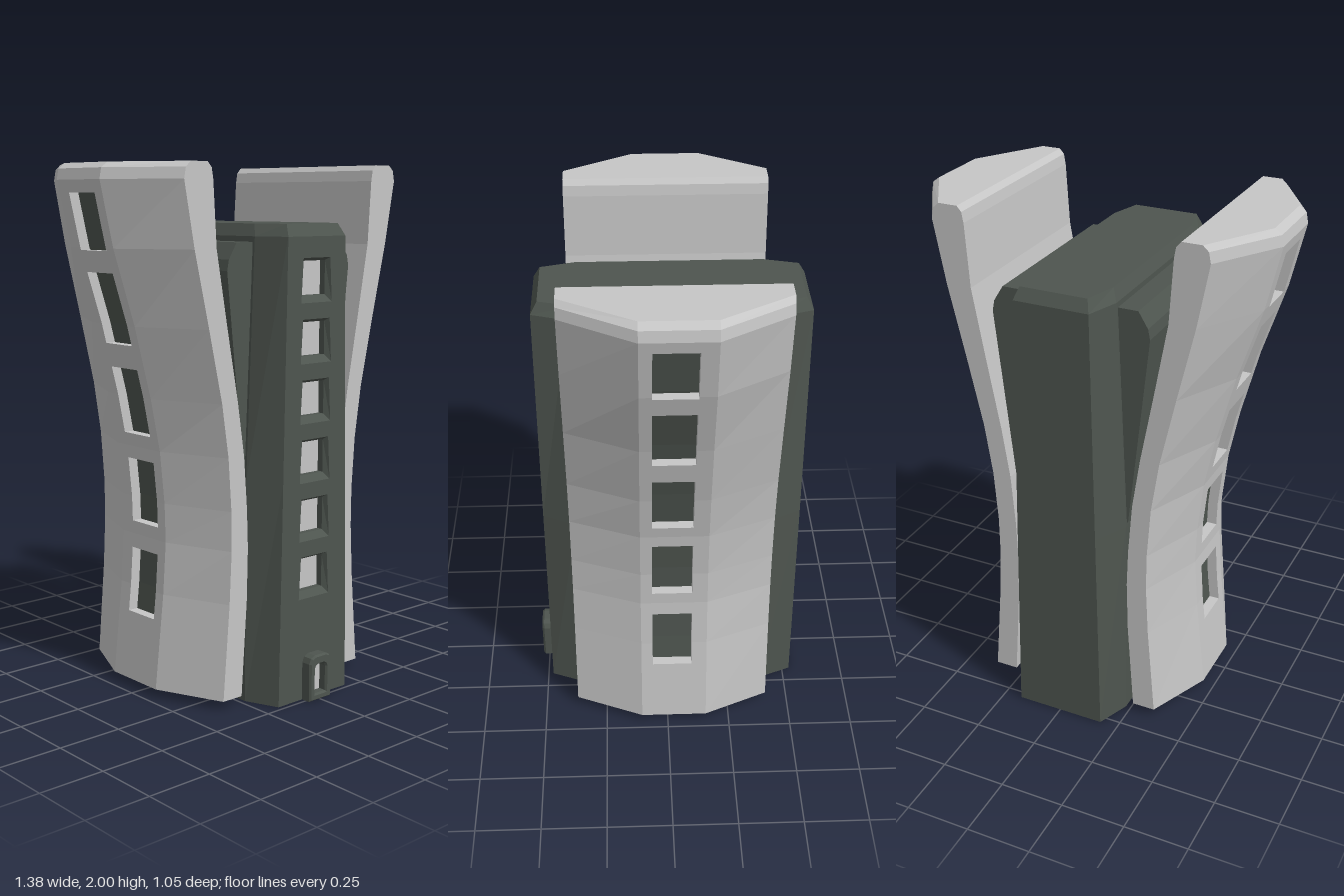
import * as THREE from 'three';

const dark = new THREE.MeshStandardMaterial({ color: 0x4e554f });
dark.name = 'dark grey green';
const light = new THREE.MeshStandardMaterial({ color: 0xc6c6c6 });
light.name = 'light grey';

// Collects flat faces; mirror = -1 flips x and keeps faces outward.
function faces(mirror = 1) {
  const pos = [];
  const poly = (...p) => {
    if (mirror < 0) p = p.slice().reverse();
    for (let i = 1; i < p.length - 1; i++)
      for (const v of [p[0], p[i], p[i + 1]]) pos.push(v[0] * mirror, v[1], v[2]);
  };
  // Side walls between two rings that run clockwise seen from above
  const band = (lo, hi, skip = -1) => lo.forEach((p, i) => {
    const j = (i + 1) % lo.length;
    if (i !== skip) poly(lo[j], p, hi[i], hi[j]);
  });
  // Recess walls from an outer loop to a deeper loop
  const recess = (outer, inner) => outer.forEach((p, i) => {
    const j = (i + 1) % outer.length;
    poly(p, outer[j], inner[j], inner[i]);
  });
  const mesh = (name, material) => {
    const g = new THREE.BufferGeometry();
    g.setAttribute('position', new THREE.Float32BufferAttribute(pos, 3));
    g.computeVertexNormals();
    const m = new THREE.Mesh(g, material);
    m.name = name;
    return m;
  };
  return { poly, band, recess, mesh };
}

const shapeOf = pts => new THREE.Shape(pts.map(p => new THREE.Vector2(p[0], p[1])));
const pathOf = pts => new THREE.Path(pts.map(p => new THREE.Vector2(p[0], p[1])));
function add(group, name, geometry, material) {
  const m = new THREE.Mesh(geometry, material);
  m.name = name;
  group.add(m);
  return m;
}

// Central tower with chamfered corners and a column of sunken front windows
function makeTower() {
  const tower = new THREE.Group();
  tower.name = 'tower';
  const front = 0.48;
  const levels = [ // y, side half width, front half width, z inset
    [0, 0.23, 0.178, 0], [0.85, 0.226, 0.162, 0], [1.74, 0.187, 0.145, 0], [1.785, 0.165, 0.13, 0.025]];
  const rings = levels.map(([y, s, f, d]) => [
    [f, y, front - d], [-f, y, front - d], [-s, y, 0.35 - d], [-s, y, -0.4 + d],
    [-f, y, -0.53 + d], [f, y, -0.53 + d], [s, y, -0.4 + d], [s, y, 0.35 - d]]);
  const body = faces();
  for (let i = 0; i < 3; i++) body.band(rings[i], rings[i + 1], i < 2 ? 0 : -1);
  body.poly(...rings[0]);
  body.poly(...rings[3].slice().reverse());

  // Front wall with window holes
  const edge = levels.slice(0, 3);
  const wall = shapeOf([...edge.map(l => [l[2], l[0]]), ...edge.slice().reverse().map(l => [-l[2], l[0]])]);
  const glass = faces();
  for (let i = 0; i < 6; i++) {
    const y = 0.482 + i * 0.2215;
    const loop = (bottom, top, y0, y1, z) =>
      [[-bottom, y + y0, z], [bottom, y + y0, z], [top, y + y1, z], [-top, y + y1, z]];
    const outer = loop(0.078, 0.068, -0.088, 0.074, front);
    const middle = loop(0.06, 0.06, -0.062, 0.063, front - 0.02);
    const inner = loop(0.06, 0.06, -0.062, 0.063, front - 0.045);
    wall.holes.push(pathOf(outer));
    body.recess(outer, middle);
    body.recess(middle, inner);
    glass.poly(...inner);
  }
  tower.add(body.mesh('towerBody', dark), glass.mesh('frontWindows', light));
  add(tower, 'frontWall', new THREE.ShapeGeometry(wall), dark).position.z = front;
  return tower;
}

// Flared shoulder block set through the tower
function makeShoulders() {
  const half = [[0.2, 0.85], [0.23, 0.865], [0.31, 1.62], [0.302, 1.66], [0.265, 1.72]];
  const outline = shapeOf([...half, ...half.slice().reverse().map(([x, y]) => [-x, y])]);
  const g = new THREE.ExtrudeGeometry(outline, { depth: 0.73, bevelEnabled: false });
  g.translate(0, 0, -0.39);
  const m = new THREE.Mesh(g, dark);
  m.name = 'shoulders';
  return m;
}

// Arched door frame with a pale door
function makeDoor() {
  const door = new THREE.Group();
  door.name = 'door';
  const arch = (w, h, c, y0 = 0) => [[-w, y0], [w, y0], [w, h - c], [w - c * 0.3, h - c * 0.3],
    [w - c, h], [-w + c, h], [-w + c * 0.3, h - c * 0.3], [-w, h - c]];
  const frame = shapeOf(arch(0.05, 0.165, 0.025));
  frame.holes.push(pathOf(arch(0.034, 0.14, 0.02, 0.015)));
  const g = new THREE.ExtrudeGeometry(frame, {
    depth: 0.04, bevelThickness: 0.008, bevelSize: 0.006, bevelSegments: 1 });
  g.translate(0, 0.006, 0.477);
  add(door, 'doorFrame', g, dark);
  add(door, 'doorPanel', new THREE.ShapeGeometry(shapeOf(arch(0.036, 0.15, 0.02, 0.01))), light).position.z = 0.488;
  return door;
}

// Curved side wing: y, inner x, end-edge x, outer x
const profile = [
  [0.035, 0.265, 0.355, 0.465], [0.4, 0.24, 0.325, 0.425], [0.6, 0.235, 0.315, 0.411],
  [0.75, 0.24, 0.316, 0.415], [0.95, 0.255, 0.33, 0.435], [1.15, 0.285, 0.36, 0.475],
  [1.42, 0.335, 0.42, 0.545], [1.7, 0.385, 0.485, 0.635], [1.94, 0.4, 0.53, 0.69],
  [1.98, 0.407, 0.522, 0.682], [2, 0.425, 0.5, 0.655]];
const wingWindows = [[0.295, 0.545], [0.65, 0.9], [1, 1.255], [1.345, 1.61], [1.69, 1.895]];

function outerX(y) {
  let i = 0;
  while (i < profile.length - 2 && profile[i + 1][0] < y) i++;
  const a = profile[i], b = profile[i + 1];
  return THREE.MathUtils.lerp(a[3], b[3], (y - a[0]) / (b[0] - a[0]));
}

function makeWing(side) {
  const wing = new THREE.Group();
  wing.name = side > 0 ? 'leftWing' : 'rightWing';
  const shell = faces(side), glass = faces(side);
  const rings = profile.map(([y, a, b, c]) => [
    [a, y, 0.37], [a, y, -0.41], [b, y, -0.41], [c, y, -0.155], [c, y, 0.105], [b, y, 0.37]]);
  for (let i = 0; i < rings.length - 1; i++) shell.band(rings[i], rings[i + 1], 3);
  shell.poly(...rings[0]);
  shell.poly(...rings[rings.length - 1].slice().reverse());

  // Outer middle strip with window openings
  const ys = [...profile.map(p => p[0]), ...wingWindows.flat()].sort((p, q) => p - q);
  const zs = [0.105, 0.06, -0.095, -0.155];
  const at = (y, z, inset = 0) => [outerX(y) - inset, y, z];
  const strip = (target, y0, y1, z0, z1, d = 0) =>
    target.poly(at(y0, z0, d), at(y0, z1, d), at(y1, z1, d), at(y1, z0, d));
  for (let i = 0; i < ys.length - 1; i++) {
    const mid = (ys[i] + ys[i + 1]) / 2;
    const open = wingWindows.some(([lo, hi]) => mid > lo && mid < hi);
    for (let k = 0; k < 3; k++) {
      if (!(open && k === 1)) strip(shell, ys[i], ys[i + 1], zs[k], zs[k + 1]);
      else strip(glass, ys[i], ys[i + 1], zs[k], zs[k + 1], 0.04);
    }
  }
  // Recess walls
  for (const [lo, hi] of wingWindows) {
    const span = ys.filter(y => y >= lo && y <= hi);
    const loop = d => [...span.map(y => at(y, zs[2], d)), ...span.slice().reverse().map(y => at(y, zs[1], d))];
    shell.recess(loop(0), loop(0.04));
  }
  wing.add(shell.mesh('wingShell', light), glass.mesh('wingWindows', dark));
  return wing;
}

export function createModel() {
  const model = new THREE.Group();
  model.name = 'building';
  model.add(makeTower(), makeShoulders(), makeDoor(), makeWing(1), makeWing(-1));
  return model;
}
